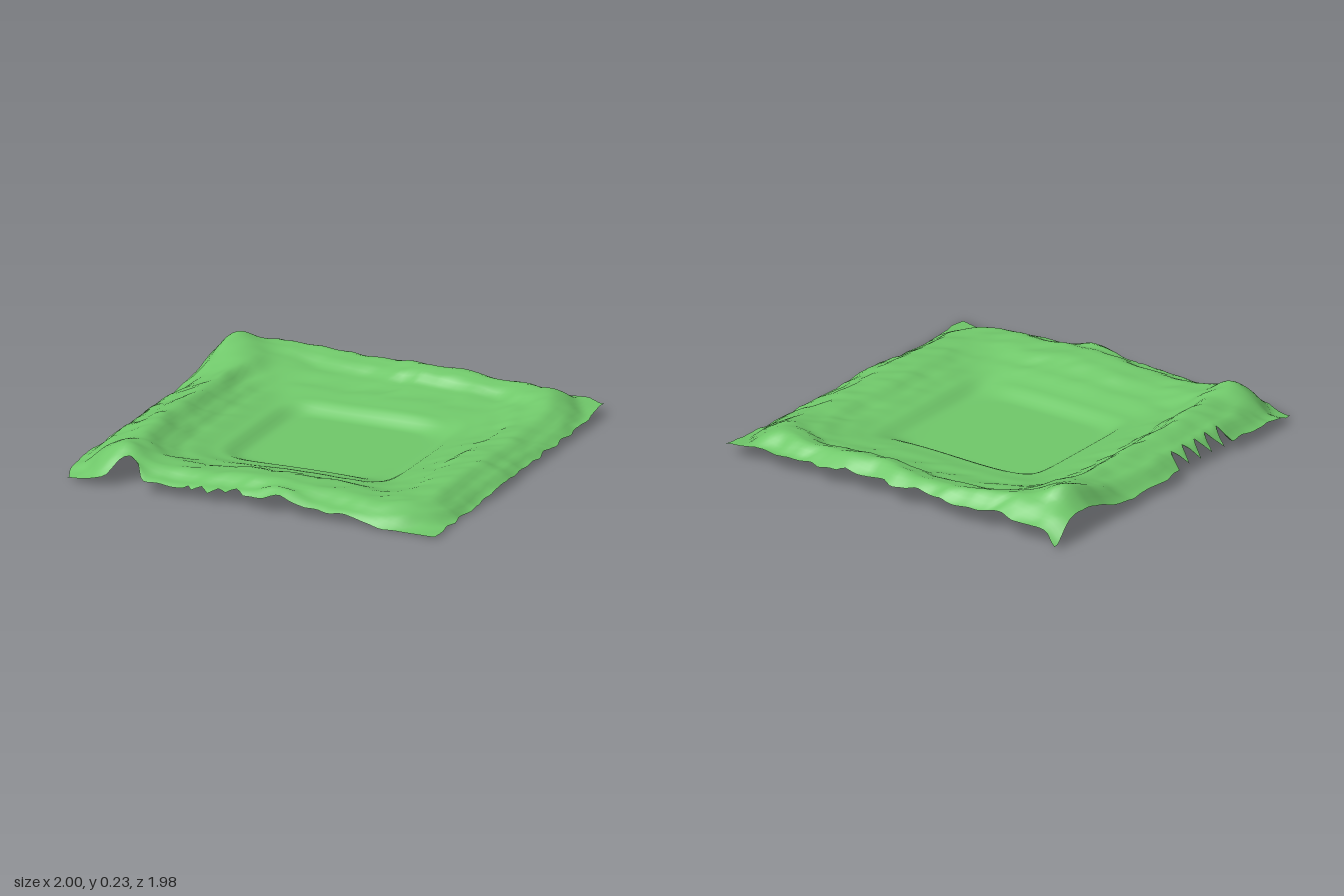
import * as THREE from 'three';

const N = 88; // grid cells per side

// Cross-sections from the hollow outwards: [distance from centre, height]
const LEFT = [[0.36, 0], [0.46, 0.045], [0.6, 0.07], [0.67, 0.1], [0.76, 0.155], [0.88, 0.12], [1, 0.05]];
const RIGHT = [[0.42, 0], [0.53, 0.045], [0.64, 0.065], [0.74, 0.095], [0.84, 0.1], [0.93, 0.065], [1, 0.03]];
const BACK = [[0.36, 0], [0.46, 0.055], [0.6, 0.07], [0.75, 0.09], [0.83, 0.135], [0.89, 0.15], [1, 0.08]];
const FRONT = [[0.33, 0], [0.45, 0.04], [0.6, 0.075], [0.74, 0.11], [0.84, 0.115], [0.93, 0.075], [1, 0.035]];

const smooth = (t) => t * t * (3 - 2 * t);
const { clamp, lerp } = THREE.MathUtils;
const bump = (x, z, cx, cz, rx, rz) => Math.exp(-(((x - cx) / rx) ** 2) - ((z - cz) / rz) ** 2);

function section(points, d) {
  if (d <= points[0][0]) return points[0][1];
  for (let i = 1; i < points.length; i++) {
    const [d0, h0] = points[i - 1], [d1, h1] = points[i];
    if (d <= d1) return lerp(h0, h1, smooth((d - d0) / (d1 - d0)));
  }
  return points[points.length - 1][1];
}

// Repeatable value from -1 to 1 for a lattice point
function jitter(i, j, seed) {
  const s = Math.sin(i * 127.1 + j * 311.7 + seed * 74.7) * 43758.5453;
  return 2 * (s - Math.floor(s)) - 1;
}

// Planar facets between random lattice heights
function facets(x, z, cell, seed) {
  const p = x / cell, q = z / cell, i = Math.floor(p), j = Math.floor(q), f = p - i, g = q - j;
  const b = jitter(i + 1, j, seed), c = jitter(i, j + 1, seed);
  if (f + g < 1) {
    const a = jitter(i, j, seed);
    return a + f * (b - a) + g * (c - a);
  }
  const d = jitter(i + 1, j + 1, seed);
  return d + (1 - f) * (c - d) + (1 - g) * (b - d);
}

function height(x, z) {
  const px = Math.abs(x) ** 7, pz = Math.abs(z) ** 7;
  const d = Math.min(1, (px + pz) ** (1 / 7));
  const w = px / (px + pz + 1e-9);
  // The hollow reaches slightly further right than left
  const left = section(LEFT, d) * (1.03 + 0.17 * z);
  const right = section(RIGHT, d) * (1 + 0.08 * Math.sin(5 * z));
  const back = section(BACK, d) * (1 + 0.06 * Math.sin(9 * x));
  const front = section(FRONT, d) * (1 + 0.1 * Math.sin(6 * x + 1));
  const side = lerp(left, right, smooth(clamp(x * 2 + 0.5, 0, 1)));
  const end = lerp(back, front, smooth(clamp(z * 2 + 0.5, 0, 1)));
  let y = w * side + (1 - w) * end;
  y += 0.115 * bump(x, z, -0.89, -0.73, 0.15, 0.2);   // high corner
  y += 0.03 * bump(x, z, -0.65, -0.75, 0.15, 0.2);    // its inner shoulder
  y += 0.045 * bump(x, z, -0.74, 0.82, 0.12, 0.14);   // front corner of the left bank
  y += 0.055 * bump(x, z, 0.14, 0.98, 0.12, 0.1);     // arch in the front edge
  y += 0.05 * bump(x, z, -0.68, 0.95, 0.09, 0.15);    // arch above the notch
  y += 0.02 * bump(x, z, 0.8, -0.8, 0.12, 0.12);
  // Low outline at the corners
  y -= 0.03 * bump(x, z, 0.8, 1, 0.3, 0.1);
  y -= 0.025 * bump(x, z, 1, 0.65, 0.1, 0.3);
  y -= 0.04 * bump(x, z, -1, 1, 0.18, 0.12);
  y -= 0.06 * bump(x, z, -1, -1, 0.1, 0.08);
  return y;
}

// How far the outline is pulled in at a point on each side
function leftInset(z, j) {
  const teeth = z > 0.06 && z < 0.46 ? 0.045 * Math.abs((j % 4) - 2) : 0;
  return teeth + 0.012 + 0.012 * facets(0, z, 0.07, 1);
}
function frontInset(x, i) {
  const notch = 0.12 * Math.max(0, 1 - Math.abs(x + 0.68) / 0.1);
  const teeth = x > -0.36 && x < -0.04 ? 0.015 * Math.abs((i % 4) - 2) : 0;
  return notch + teeth + 0.02 + 0.012 * facets(x, 0, 0.07, 2);
}

function terrainGeometry() {
  const positions = [], index = [];
  for (let j = 0; j <= N; j++) {
    for (let i = 0; i <= N; i++) {
      const u = (2 * i) / N - 1, v = (2 * j) / N - 1;
      const rough = smooth(clamp((Math.max(Math.abs(u), Math.abs(v)) - 0.46) / 0.25, 0, 1));
      // Ragged outline
      const ex = Math.abs(u) ** 16, ez = Math.abs(v) ** 16;
      const x = u + (u < 0 ? ex * leftInset(v, j) : -ex * (0.012 + 0.012 * facets(1, v, 0.07, 5)));
      const z = v + (v > 0 ? -ez * frontInset(u, i) : ez * (0.02 + 0.02 * facets(u, 1, 0.07, 6)));
      // Faceted ground, with banks that wander a little
      const wx = x + 0.025 * rough * facets(x, z, 0.14, 3);
      const wz = z + 0.025 * rough * facets(x, z, 0.14, 4);
      const y = height(wx, wz) + 0.007 * rough * facets(x + 0.3 * z, z, 0.075, 7);
      positions.push(x, Math.max(0, y), z);
    }
  }
  for (let j = 0; j < N; j++) {
    for (let i = 0; i < N; i++) {
      const a = j * (N + 1) + i, b = a + 1, c = a + N + 1, d = c + 1;
      index.push(a, c, b, b, c, d);
    }
  }
  const geometry = new THREE.BufferGeometry();
  geometry.setAttribute('position', new THREE.Float32BufferAttribute(positions, 3));
  geometry.setIndex(index);
  geometry.computeVertexNormals();
  return geometry;
}

export function createModel() {
  const group = new THREE.Group();
  group.name = 'terrain';
  const grass = new THREE.MeshStandardMaterial({ color: 0x70c86a, side: THREE.DoubleSide });
  // Open sheet of ground with a flat hollow and raised banks
  const ground = new THREE.Mesh(terrainGeometry(), grass);
  ground.name = 'grassGround';
  group.add(ground);
  return group;
}
